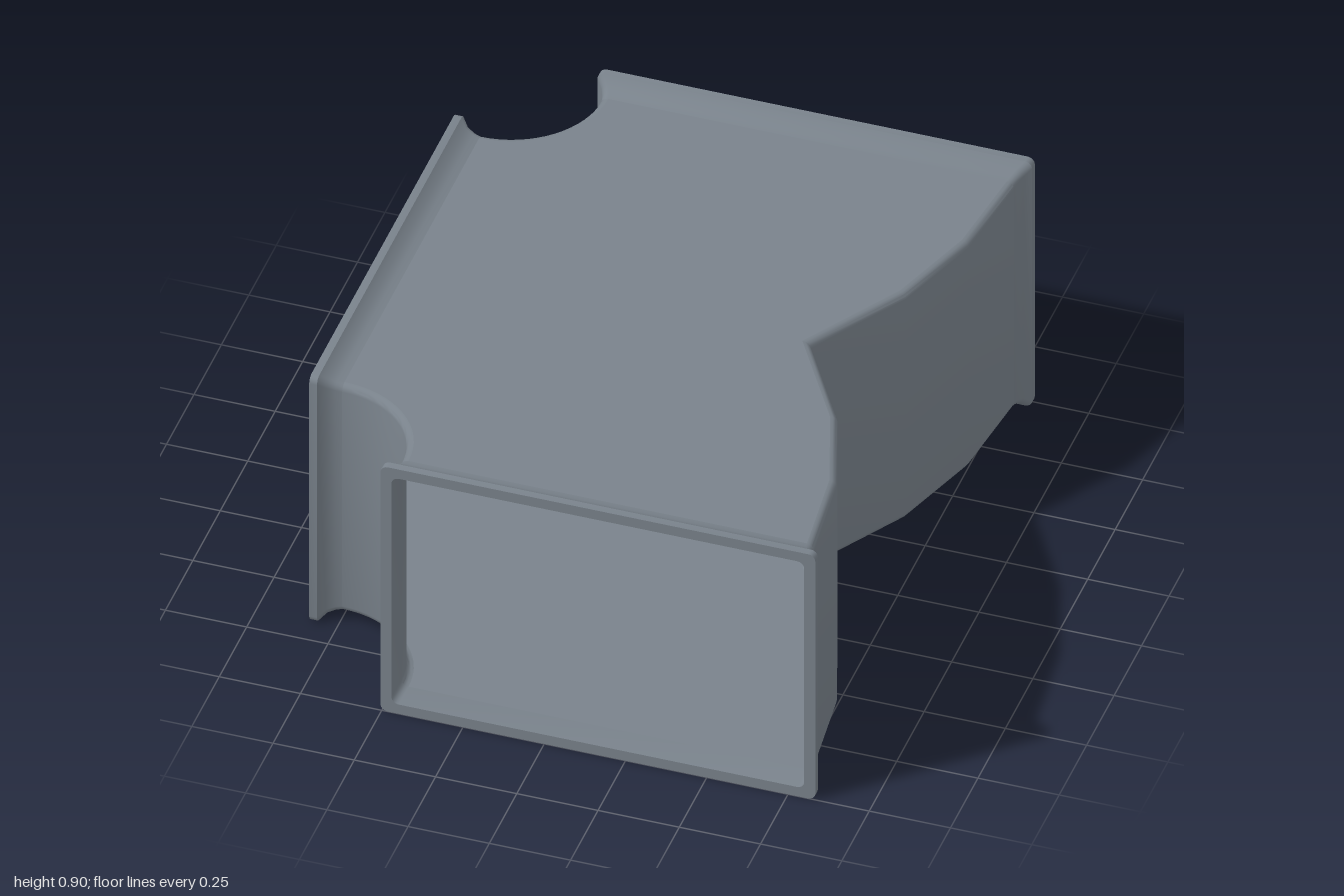
import * as THREE from 'three';
import { toCreasedNormals } from 'three/addons/utils/BufferGeometryUtils.js';

const BOTTOM = 0.034, TOP = 0.866, MID = 0.45, R = 0.022; // body heights, edge radius
const OPENING = 1.27;                                     // width of every opening
const CX = -0.745, CZ = 0.91;                             // centre of the bends
const material = new THREE.MeshStandardMaterial({ color: 0x79828b, side: THREE.DoubleSide });

// Skin a list of equally long rows of [x, y, z] points
function loft(rows) {
  const n = rows[0].length, index = [];
  for (let i = 0; i < rows.length - 1; i++) {
    for (let j = 0; j < n - 1; j++) {
      const a = i * n + j, b = a + 1, c = b + n, d = a + n;
      index.push(a, b, c, a, c, d);
    }
  }
  const g = new THREE.BufferGeometry();
  g.setAttribute('position', new THREE.Float32BufferAttribute(rows.flat(2), 3));
  g.setIndex(index);
  return toCreasedNormals(g, 0.6);
}

// Wall with rounded upper and lower edges along plan points { x, z, nx, nz }
function wallGeometry(points) {
  const profile = [];
  for (let k = 0; k <= 4; k++) {
    const a = (k / 4) * Math.PI / 2;
    profile.push([R * (Math.sin(a) - 1), TOP - R + R * Math.cos(a)]);
  }
  const lower = profile.map(([o, y]) => [o, 2 * MID - y]).reverse();
  return loft(points.map(p => [...profile, ...lower].map(([o, y]) => [p.x + p.nx * o, y, p.z + p.nz * o])));
}

const mirrorZ = points => points.map(p => ({ ...p, z: -p.z, nz: -p.nz })).reverse();

// Rounded rectangle ring, grown by off, at depth z
function ring(off, z) {
  const hw = OPENING / 2 + off - R, hh = (TOP - BOTTOM) / 2 + off - R, pts = [];
  [[1, 1], [-1, 1], [-1, -1], [1, -1]].forEach(([sx, sy], q) => {
    for (let k = 0; k <= 4; k++) {
      const a = (q + k / 4) * Math.PI / 2;
      pts.push([sx * hw + R * Math.cos(a), sy * hh + R * Math.sin(a), z]);
    }
  });
  return [...pts, pts[0]];
}

export function createModel() {
  const group = new THREE.Group();
  const add = (name, geometry) => {
    const mesh = new THREE.Mesh(geometry, material);
    mesh.name = name;
    group.add(mesh);
    return mesh;
  };

  // Outer bend: faceted arc that meets its mirror image in a sharp valley
  const outerFront = [[0.80, 0.91], [0.765, 0.6], [0.67, 0.31], [0.482, 0]].map(([x, z]) => {
    const d = Math.hypot(x - CX, z - CZ);
    return { x, z, nx: (x - CX) / d, nz: (z - CZ) / d };
  });
  Object.assign(outerFront[0], { nx: 1, nz: 0 });
  Object.assign(outerFront[3], { nx: 1.17, nz: 0 });
  const outerBack = mirrorZ(outerFront);

  // Inner bend: smooth quarter arc between two openings
  const innerFront = [];
  for (let i = 0; i <= 16; i++) {
    const a = (1 - i / 16) * Math.PI / 2, c = Math.cos(a), s = Math.sin(a);
    innerFront.push({ x: CX + 0.275 * c, z: CZ - 0.275 * s, nx: -c, nz: s });
  }
  const innerBack = mirrorZ(innerFront);

  add('outerWallFront', wallGeometry(outerFront));
  add('outerWallBack', wallGeometry(outerBack));
  add('innerWallFront', wallGeometry(innerFront));
  add('innerWallBack', wallGeometry(innerBack));

  // Top and bottom plates fill the plan between the rounded edges
  const outline = [...outerFront, ...outerBack.slice(1), ...innerBack, ...innerFront]
    .map(p => new THREE.Vector2(p.x - p.nx * R, -(p.z - p.nz * R)));
  const plate = new THREE.ShapeGeometry(new THREE.Shape(outline));
  add('topPlate', plate.clone().rotateX(-Math.PI / 2)).position.y = TOP;
  add('bottomPlate', plate.clone().rotateX(Math.PI / 2)).position.y = BOTTOM;

  // Flanges: curved flare, crisp square lip, flat face, straight inside
  const flange = loft([
    [0, -0.09], [0.004, -0.07], [0.014, -0.045], [0.034, -0.024],
    [0.034, 0], [0, 0], [0, -0.09],
  ].map(([off, z]) => ring(off, z)));
  const openings = [
    ['frontFlange', 0.165, 1, 0],
    ['backFlange', 0.165, -1, Math.PI],
    ['sideFlange', -0.835, 0, -Math.PI / 2],
  ];
  for (const [name, x, z, turn] of openings) {
    const mesh = add(name, flange);
    mesh.position.set(x, MID, z);
    mesh.rotation.y = turn;
  }
  return group;
}
